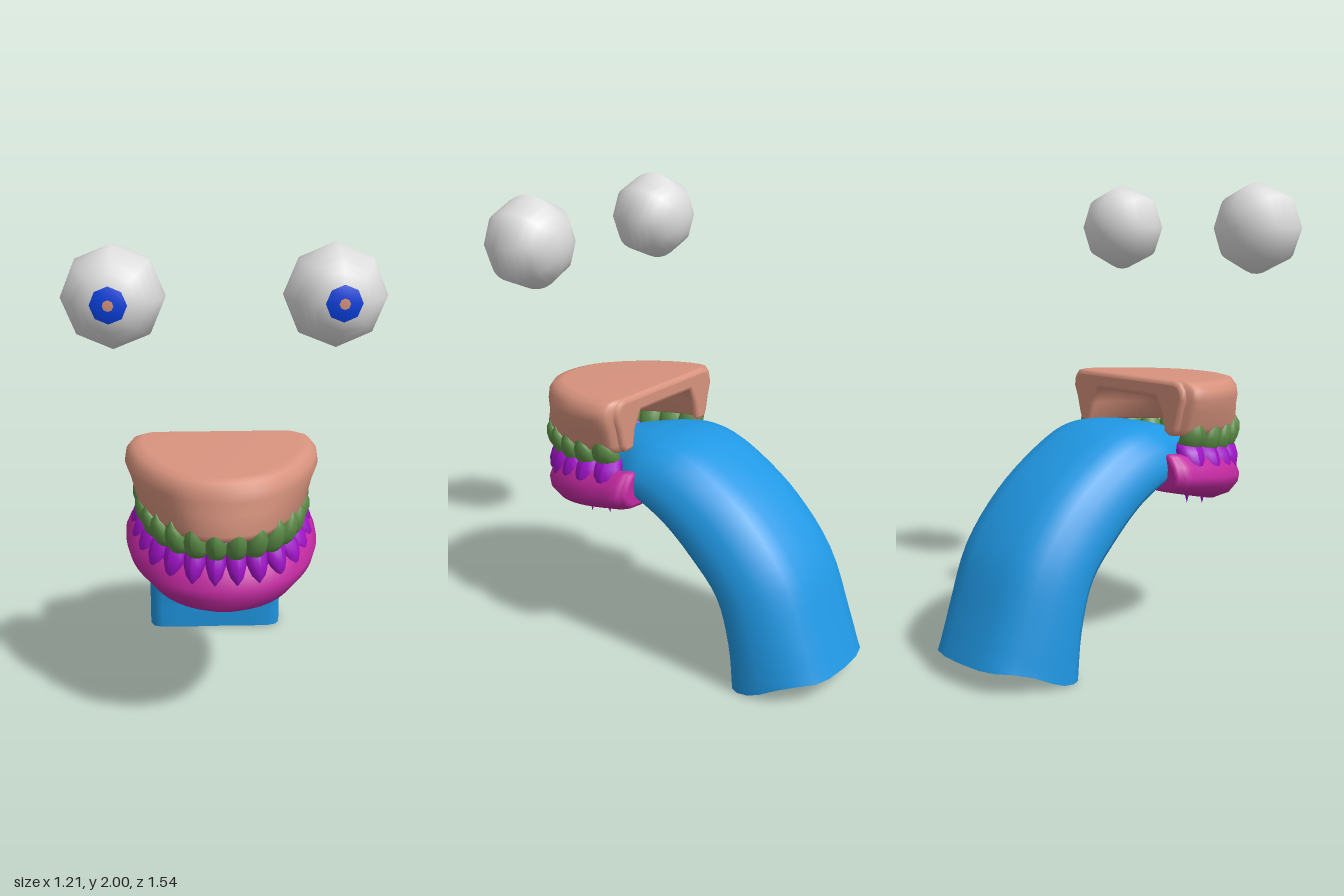
import * as THREE from 'three';

const mat = (name, color, side = THREE.FrontSide) => {
  const m = new THREE.MeshStandardMaterial({ color, side });
  m.name = name;
  return m;
};
const V = (x, y, z) => new THREE.Vector3(x, y, z);

// Skin a list of equally long rows of points.
function loft(rows, closed = false) {
  const n = rows[0].length, index = [];
  for (let i = 0; i < rows.length - 1; i++) {
    for (let j = 0; j < (closed ? n : n - 1); j++) {
      const k = (j + 1) % n;
      const a = i * n + j, b = i * n + k, c = a + n, d = b + n;
      index.push(a, b, c, b, d, c);
    }
  }
  const geo = new THREE.BufferGeometry().setFromPoints(rows.flat());
  geo.setIndex(index);
  geo.computeVertexNormals();
  return geo;
}

// Full arch curve from half of its [x, z] points, left back to right back.
function archCurve(half) {
  const mirrored = half.slice(0, -1).reverse().map(([x, z]) => [-x, z]);
  return new THREE.CatmullRomCurve3([...half, ...mirrored].map(([x, z]) => V(x, 0, z)));
}

// Shrink a counter-clockwise outline by d and move it back by depth.
function insetRow(outline, d, depth) {
  const n = outline.length;
  return outline.map((p, i) => {
    const t = outline[(i + 1) % n].clone().sub(outline[(i + n - 1) % n]).normalize();
    return V(p.x - t.y * d, p.y + t.x * d, p.z - depth);
  });
}

// Gum: a profile of [x scale, z scale, y at the back, y slope] carried round an arch.
function buildGum(name, half, profile, material) {
  const group = new THREE.Group();
  group.name = name;
  const z0 = half[0][1], bevel = 0.02;
  const rows = archCurve(half).getPoints(56).map(p => profile.map(([sx, sz, y, slope]) => {
    const dz = (p.z - z0) * sz;
    return V(p.x * sx, y + slope * dz, z0 + dz);
  }));
  const add = (part, geo) => {
    const mesh = new THREE.Mesh(geo, material);
    mesh.name = name + part;
    group.add(mesh);
  };
  add('Body', loft(rows));
  // rounded back end
  const outline = [...rows[0], ...rows[rows.length - 1].slice(1, -1).reverse()];
  const rim = [1, 0.5, 0.15, 0].map((d, i) => insetRow(outline, d * bevel, [1, 0.87, 0.5, 0][i] * bevel));
  add('BackRim', loft(rim, true));
  const cap = new THREE.ShapeGeometry(new THREE.Shape(rim[0].map(p => new THREE.Vector2(p.x, p.y))));
  cap.rotateY(Math.PI).translate(0, 0, z0 - bevel);
  add('Back', cap);
  return group;
}

// Unit tooth: bite edge at y = 0, pointed root at dir * 1, root leaning outward.
function toothGeometry(dir, lean) {
  const pts = [[0, 0], [0.4, 0], [0.5, 0.22], [0.48, 0.5], [0.32, 0.78], [0.03, 1]];
  const geo = new THREE.LatheGeometry(pts.map(([r, y]) => new THREE.Vector2(r, y)), 12);
  if (dir < 0) geo.rotateZ(Math.PI);
  const pos = geo.attributes.position;
  for (let i = 0; i < pos.count; i++) pos.setZ(i, pos.getZ(i) + Math.abs(pos.getY(i)) * lean);
  geo.computeVertexNormals();
  return geo;
}

function buildTeeth(name, half, biteY, height, dir, lean, material) {
  const group = new THREE.Group();
  group.name = name;
  const curve = archCurve(half), geo = toothGeometry(dir, lean), count = 14;
  const length = curve.getLength();
  const warp = v => 0.5 + 0.5 * v * (0.75 + 0.25 * Math.abs(v));
  for (let i = 0; i < count; i++) {
    const u0 = warp(2 * i / count - 1), u1 = warp(2 * (i + 1) / count - 1);
    const p = curve.getPointAt((u0 + u1) / 2), t = curve.getTangentAt((u0 + u1) / 2);
    const tooth = new THREE.Mesh(geo, material);
    tooth.name = name + 'Tooth' + (i + 1);
    const back = Math.max(0, 0.42 - p.z);
    tooth.position.set(p.x, biteY + back * 0.2, p.z);
    tooth.rotation.y = Math.atan2(t.z, -t.x);
    tooth.scale.set((u1 - u0) * length * 1.1, height, 0.085 + back * 0.1);
    group.add(tooth);
  }
  return group;
}

function buildTongue(material) {
  // [outer z, outer y, inner z, inner y, half width] from tip to root
  const spine = [
    [0.56, 0.79, 0.56, 0.78, 0.04], [0.5, 0.88, 0.52, 0.76, 0.15], [0.22, 0.965, 0.3, 0.76, 0.24],
    [0.13, 0.975, 0.18, 0.74, 0.3], [0.05, 0.98, 0.11, 0.73, 0.31], [-0.07, 0.96, 0.04, 0.7, 0.314],
    [-0.23, 0.88, -0.05, 0.645, 0.314], [-0.42, 0.74, -0.17, 0.54, 0.314], [-0.6, 0.52, -0.3, 0.395, 0.314],
    [-0.7, 0.27, -0.36, 0.2, 0.314], [-0.768, 0.085, -0.38, 0, 0.314],
  ];
  // half section: [width, height from inner to outer side]
  const side = [[0.5, 0], [0.82, 0.01], [0.94, 0.05], [0.99, 0.14], [1, 0.28], [0.98, 0.42], [0.91, 0.62], [0.78, 0.8], [0.6, 0.93], [0.36, 0.985]];
  const section = [[0, 0.01], ...side.map(([w, h]) => [-w, h]), [0, 1], ...side.slice().reverse()];
  const outer = new THREE.CatmullRomCurve3(spine.map(s => V(s[4], s[1], s[0])));
  const inner = new THREE.CatmullRomCurve3(spine.map(s => V(s[4], s[3], s[2])));
  const rows = [], steps = 40;
  for (let i = 0; i <= steps; i++) {
    const o = outer.getPoint(i / steps), n = inner.getPoint(i / steps);
    const wave = i === steps ? 0.018 : 0; // wavy open end
    rows.push(section.map(([w, h]) => V(w * o.x,
      n.y + (o.y - n.y) * h - wave * Math.sin(2 * Math.PI * h), n.z + (o.z - n.z) * h)));
  }
  const tongue = new THREE.Mesh(loft(rows, true), material);
  tongue.name = 'tongue';
  return tongue;
}

// Eye: eight-sided ball with its pole forward, with a slightly raised iris and pupil.
function buildEye(name, side, white, blue, pink) {
  const eye = new THREE.Group();
  eye.name = name;
  const parts = [['eyeball', 1, 0, Math.PI, 16, white], ['iris', 1.025, 0.105, 0.35, 2, blue], ['pupil', 1.025, 0, 0.105, 1, pink]];
  for (const [part, radius, from, to, rings, material] of parts) {
    const geo = new THREE.SphereGeometry(radius, 8, rings, 0, Math.PI * 2, from, to - from);
    geo.rotateX(Math.PI / 2);
    const mesh = new THREE.Mesh(geo, material);
    mesh.name = part;
    eye.add(mesh);
  }
  eye.scale.set(0.194, 0.194, 0.18);
  eye.position.set(side * 0.41, 1.806, 0.543);
  eye.rotation.y = side * 0.06;
  return eye;
}

export function createModel() {
  const model = new THREE.Group();
  model.name = 'mouthWithEyes';
  const pink = mat('upperGumPink', 0xd8937e, THREE.DoubleSide);
  const magenta = mat('lowerGumMagenta', 0xc42aa2, THREE.DoubleSide);
  const green = mat('upperTeethGreen', 0x5a8a45);
  const purple = mat('lowerTeethPurple', 0xa012c8);
  const blue = mat('tongueBlue', 0x2098e4, THREE.DoubleSide);
  const white = mat('eyeWhite', 0xdedede);
  const iris = mat('irisBlue', 0x0a42e0);

  // Gums
  model.add(buildGum('upperGum',
    [[0.34, 0.182], [0.378, 0.205], [0.392, 0.28], [0.37, 0.41], [0.33, 0.51], [0.26, 0.625], [0.15, 0.73], [0, 0.767]],
    [[0, 0, 1.09, -0.05], [0.52, 0.55, 1.09, -0.05], [0.62, 0.68, 1.02, -0.05], [0.66, 0.78, 0.945, -0.05],
      [0.74, 0.88, 0.93, -0.05], [0.85, 0.97, 0.935, -0.05], [0.9, 1, 0.965, -0.05], [0.95, 0.975, 1.04, -0.05],
      [1, 0.965, 1.09, -0.05], [0.985, 0.955, 1.13, -0.05], [0.92, 0.92, 1.16, -0.05], [0.82, 0.85, 1.17, -0.05],
      [0, 0, 1.17, -0.05]], pink));
  model.add(buildGum('lowerGum',
    [[0.375, 0.125], [0.392, 0.15], [0.395, 0.22], [0.385, 0.37], [0.34, 0.51], [0.26, 0.63], [0.15, 0.705], [0, 0.735]],
    [[0, 0, 0.695, -0.26], [0.68, 0.84, 0.695, -0.25], [0.86, 0.95, 0.7, -0.17], [0.97, 1, 0.73, -0.12],
      [1, 1, 0.77, -0.12], [0.95, 0.975, 0.815, -0.12], [0.87, 0.93, 0.855, -0.11], [0.79, 0.86, 0.865, -0.11],
      [0.71, 0.76, 0.84, -0.1], [0.6, 0.6, 0.74, -0.1], [0, 0, 0.74, -0.1]], magenta));

  // Teeth
  model.add(buildTeeth('upperTeeth',
    [[0.285, 0.2], [0.293, 0.32], [0.27, 0.45], [0.215, 0.58], [0.125, 0.675], [0, 0.708]], 0.832, 0.13, 1, 0.5, green));
  model.add(buildTeeth('lowerTeeth',
    [[0.29, 0.185], [0.3, 0.32], [0.275, 0.45], [0.22, 0.565], [0.13, 0.65], [0, 0.682]], 0.86, 0.14, -1, 0.55, purple));

  // Root tips poking out under the lower gum
  for (const s of [-1, 1]) {
    for (const [x, z, tip] of [[0.26, 0.28, 0.622], [0.25, 0.39, 0.6]]) {
      const root = new THREE.Mesh(new THREE.ConeGeometry(0.014, 0.06, 8), purple);
      root.name = 'rootTip';
      root.rotation.x = Math.PI;
      root.position.set(s * x, tip + 0.03, z);
      model.add(root);
    }
  }

  model.add(buildTongue(blue));
  model.add(buildEye('leftEye', 1, white, iris, pink), buildEye('rightEye', -1, white, iris, pink));
  return model;
}
